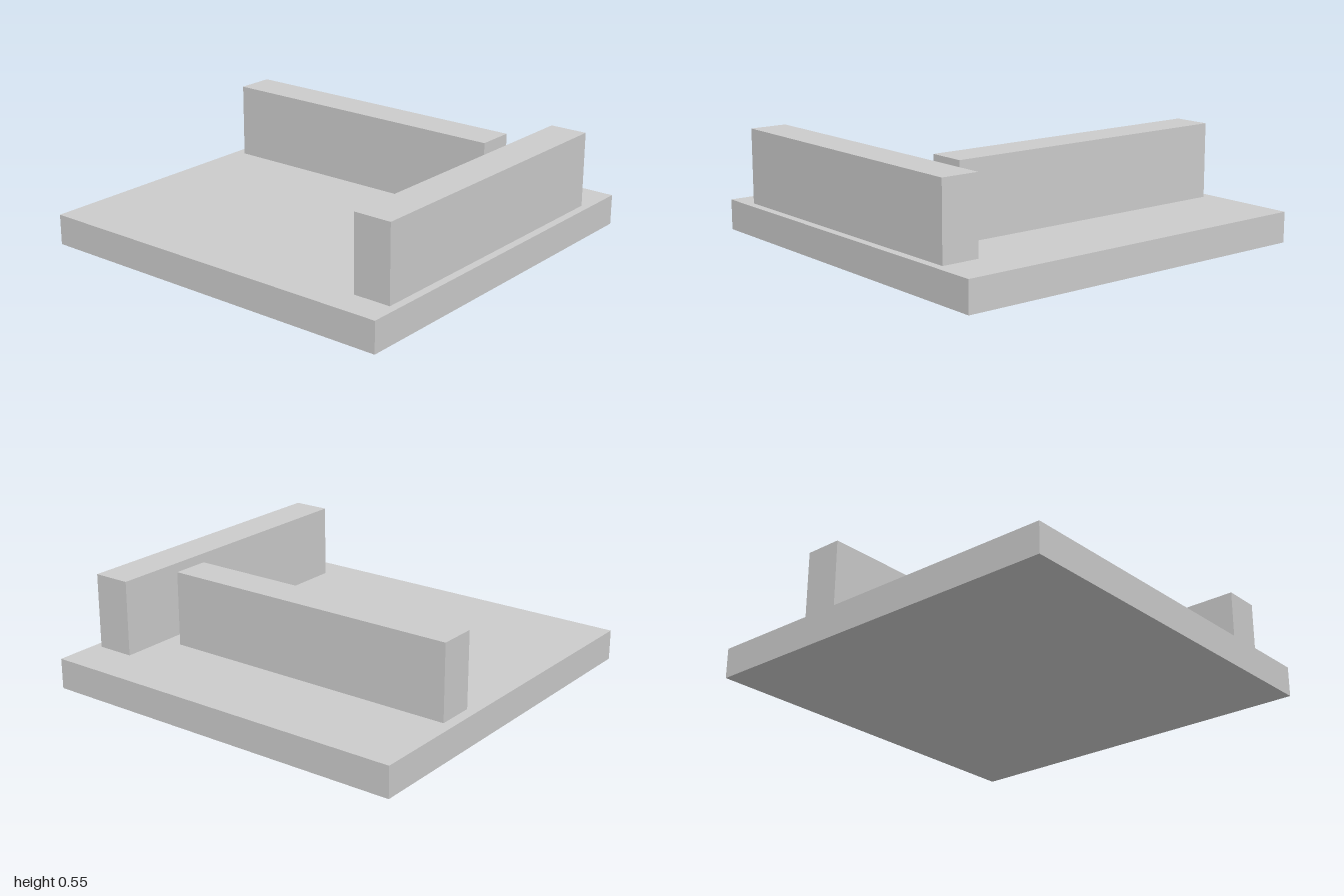
import * as THREE from 'three';

const material = new THREE.MeshStandardMaterial({ color: 0xcccccc, flatShading: true });

// Box given by its [min, max] extent along each axis
function block(name, [x0, x1], [y0, y1], [z0, z1]) {
  const mesh = new THREE.Mesh(new THREE.BoxGeometry(x1 - x0, y1 - y0, z1 - z0), material);
  mesh.name = name;
  mesh.position.set((x0 + x1) / 2, (y0 + y1) / 2, (z0 + z1) / 2);
  return mesh;
}

export function createModel() {
  const model = new THREE.Group();
  model.name = 'platformWithWalls';
  const floorTop = 0.158, wallTop = 0.547;

  // Square floor slab
  model.add(block('floorSlab', [-1, 1], [0, floorTop], [-1, 1]));
  // Wall running across the rear of the slab
  model.add(block('backWall', [-0.945, 0.66], [floorTop, wallTop], [-0.5, -0.303]));
  // Wall running front to back along the left edge
  model.add(block('leftWall', [0.76, 0.958], [floorTop, wallTop], [-0.763, 0.842]));

  return model;
}
